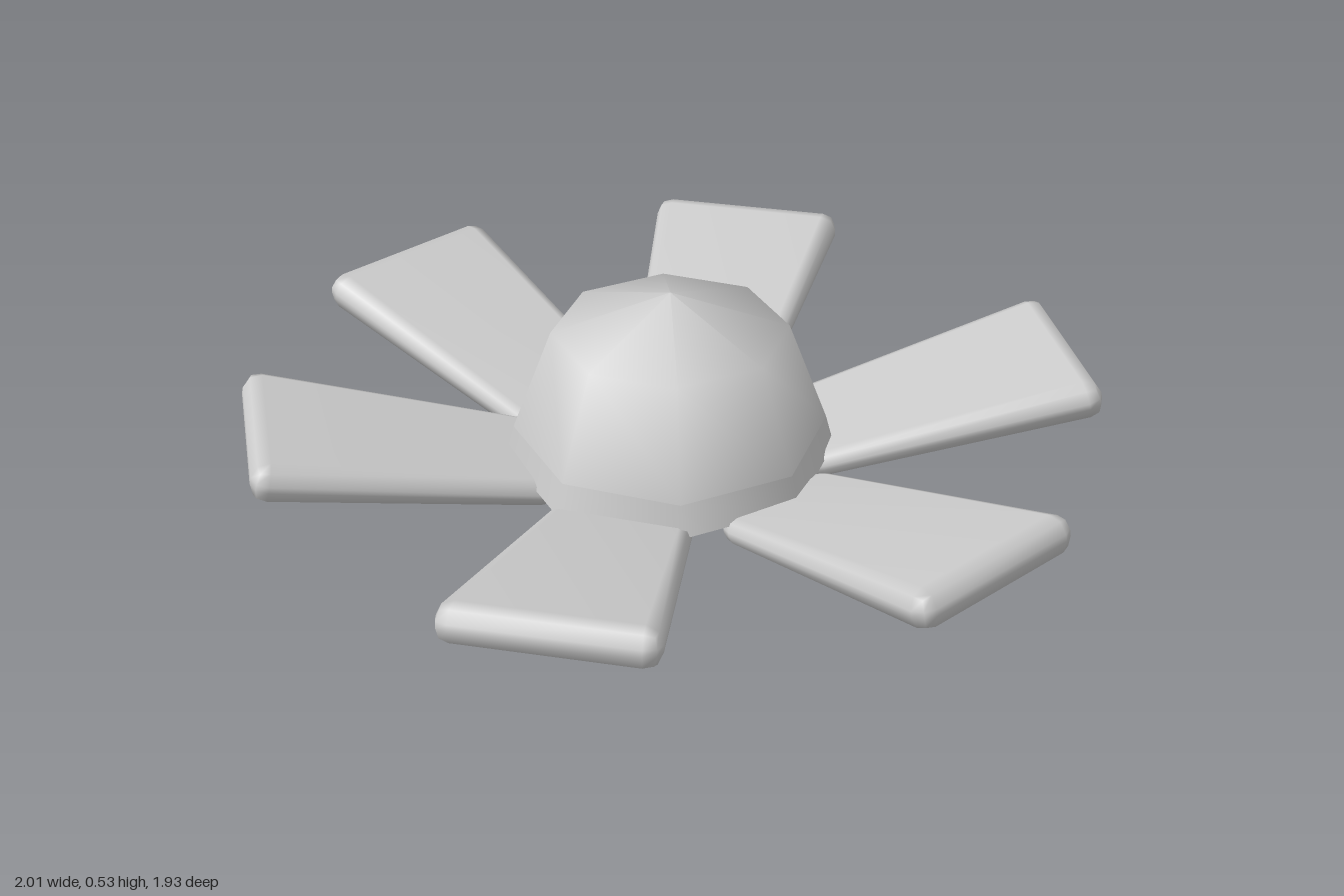
import * as THREE from 'three';
import { mergeVertices } from 'three/addons/utils/BufferGeometryUtils.js';
import { RoundedBoxGeometry } from 'three/addons/geometries/RoundedBoxGeometry.js';

const material = new THREE.MeshStandardMaterial({ color: 0xcccccc });

// Octagonal turned part, corners on the axes
function turned(name, points) {
  const geometry = new THREE.LatheGeometry(points.map(([r, y]) => new THREE.Vector2(r, y)), 8);
  const mesh = new THREE.Mesh(geometry, material);
  mesh.name = name;
  mesh.position.z = -0.005;
  return mesh;
}

// Chamfered slab, narrower and thinner at its inner end; the origin is the middle of its tip
function petalGeometry() {
  const length = 0.7;
  const box = new RoundedBoxGeometry(length, 0.095, 0.48, 1, 0.04);
  box.deleteAttribute('normal');
  box.deleteAttribute('uv');
  const geometry = mergeVertices(box);
  const p = geometry.attributes.position;
  for (let i = 0; i < p.count; i++) {
    const t = p.getX(i) / length + 0.5;
    p.setXYZ(
      i,
      p.getX(i) - length / 2,
      p.getY(i) * THREE.MathUtils.lerp(0.65, 1, t),
      p.getZ(i) * THREE.MathUtils.lerp(0.66, 1, t)
    );
  }
  geometry.rotateZ(THREE.MathUtils.degToRad(12.5));
  geometry.computeVertexNormals();
  return geometry;
}

export function createModel() {
  const model = new THREE.Group();
  model.name = 'flower';

  // Faceted centre: shallow cone, short rim and dome
  model.add(turned('flowerBase', [[0, 0.005], [0.38, 0.125]]));
  model.add(turned('flowerRim', [[0.38, 0.125], [0.36, 0.2]]));
  model.add(turned('flowerDome', [[0.36, 0.2], [0.27, 0.442], [0, 0.535]]));

  // Six petals: tip x, tip z, heading in degrees
  const geometry = petalGeometry();
  const petals = [
    [0.975, 0.065, 6], [0.43, 0.86, 61], [-0.62, 0.73, 128],
    [-0.985, -0.095, 186], [-0.49, -0.87, 241], [0.56, -0.81, 307],
  ];
  for (const [x, z, heading] of petals) {
    const petal = new THREE.Mesh(geometry, material);
    petal.name = 'petal';
    petal.position.set(x, 0.25, z);
    petal.rotation.y = -THREE.MathUtils.degToRad(heading);
    model.add(petal);
  }
  return model;
}
